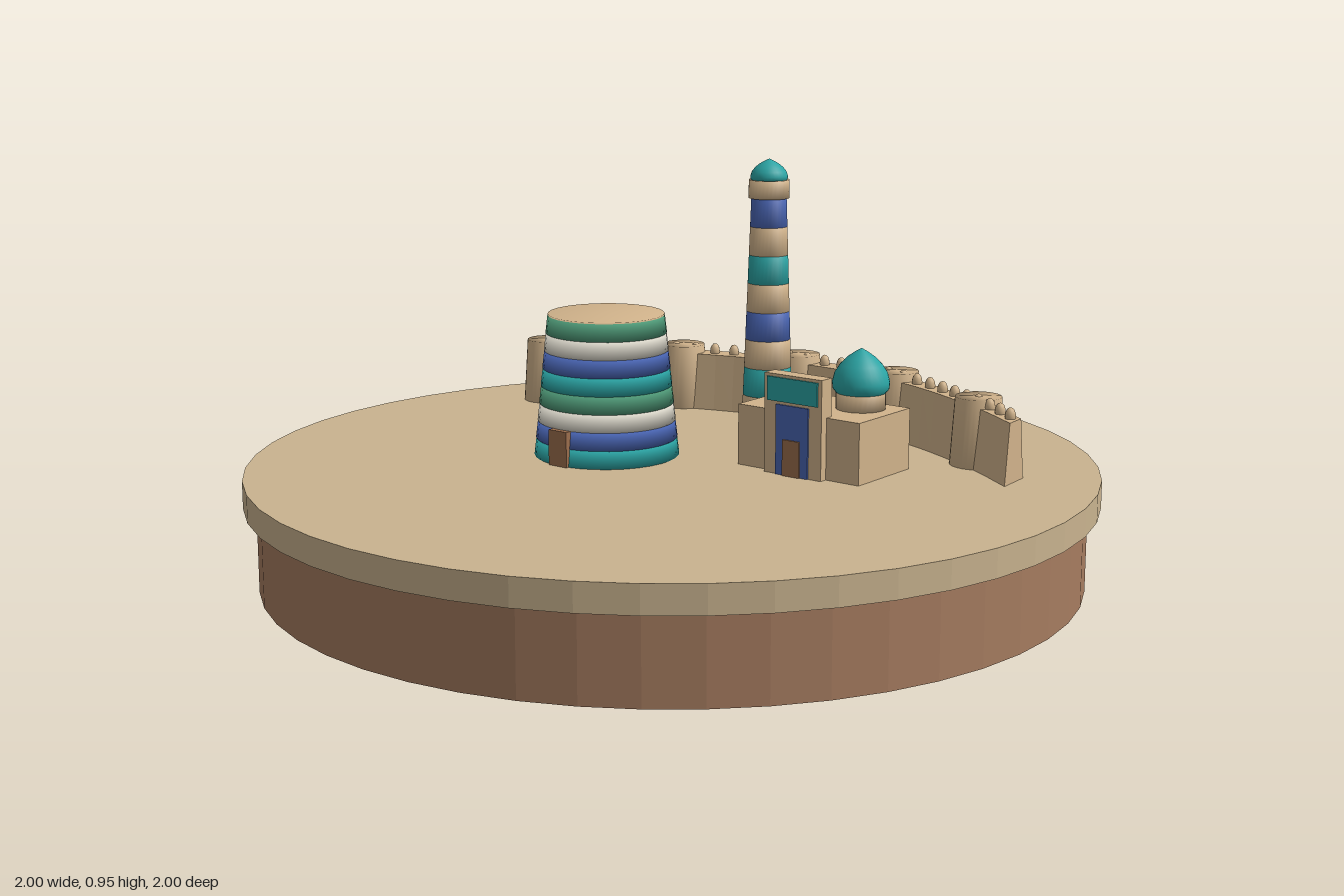
import * as THREE from 'three';
import { mergeVertices } from 'three/addons/utils/BufferGeometryUtils.js';

const GROUND = 0.265;

export function createModel() {
  const mat = (name, color) => {
    const m = new THREE.MeshStandardMaterial({ color });
    m.name = name;
    return m;
  };
  const M = {
    earth: mat('earth', 0xa67c60),
    ground: mat('ground', 0xc9b38f),
    clay: mat('clay', 0xd2b48c),
    teal: mat('tealTile', 0x2ba5a5),
    blue: mat('blueTile', 0x4a66b5),
    green: mat('greenTile', 0x4f9a78),
    white: mat('whiteTile', 0xe0dccf),
    wood: mat('doorWood', 0x9c6f4e),
  };
  const model = new THREE.Group();
  model.name = 'walledOasisTown';

  const group = (name, x = 0, z = 0, parent = model) => {
    const g = new THREE.Group();
    g.name = name;
    g.position.set(x, 0, z);
    parent.add(g);
    return g;
  };
  const add = (parent, name, geo, material, x = 0, y = 0, z = 0) => {
    const mesh = new THREE.Mesh(geo, material);
    mesh.name = name;
    mesh.position.set(x, y, z);
    parent.add(mesh);
    return mesh;
  };
  // Normals shared across the rims, giving a soft, rounded look
  const soften = (geo) => {
    geo.deleteAttribute('normal');
    geo.deleteAttribute('uv');
    const g = mergeVertices(geo, 1e-5);
    g.computeVertexNormals();
    return g;
  };
  const facet = (geo) => {
    const g = geo.toNonIndexed();
    g.computeVertexNormals();
    return g;
  };
  const softDrum = (parent, name, rTop, rBottom, y0, y1, material, x = 0, z = 0) =>
    add(parent, name, soften(new THREE.CylinderGeometry(rTop, rBottom, y1 - y0, 32)), material, x, (y0 + y1) / 2, z);
  const box = (parent, name, w, y0, y1, d, material, x = 0, z = 0) =>
    add(parent, name, new THREE.BoxGeometry(w, y1 - y0, d), material, x, (y0 + y1) / 2, z);
  // Pointed dome of base radius r standing at height y
  const dome = (parent, name, r, h, y, x = 0, z = 0) => {
    const profile = [[0.85, 0], [0.98, 0.1], [1, 0.25], [0.92, 0.45], [0.74, 0.63], [0.5, 0.79], [0.24, 0.91], [0, 1]];
    const pts = profile.map(([a, b]) => new THREE.Vector2(a * r, b * h));
    return add(parent, name, new THREE.LatheGeometry(pts, 32), M.teal, x, y, z);
  };

  // Round base
  const base = group('base');
  add(base, 'earthPlinth', facet(new THREE.CylinderGeometry(0.97, 0.97, 0.2, 48)), M.earth, 0, 0.1, 0);
  add(base, 'groundDisc', facet(new THREE.CylinderGeometry(1, 1, 0.065, 48)), M.ground, 0, 0.2325, 0);

  // Squat tiled tower
  const squat = group('squatTower', -0.175, -0.03);
  const squatBands = [M.teal, M.blue, M.white, M.green, M.teal, M.blue, M.white, M.green];
  const bandH = 0.0422;
  squatBands.forEach((m, i) => {
    const r = 0.174 - i * 0.0042;
    softDrum(squat, 'tileBand', r - 0.005, r, GROUND + i * bandH, GROUND + (i + 1) * bandH, m);
  });
  softDrum(squat, 'roof', 0.139, 0.139, 0.59, 0.606, M.clay);
  const door = group('towerDoor', 0, 0, squat);
  door.rotation.y = -0.35;
  box(door, 'doorPanel', 0.055, GROUND, 0.35, 0.03, M.wood, 0, 0.164);

  // Slender minaret
  const minaret = group('minaret', 0.13, -0.36);
  softDrum(minaret, 'minaretFoot', 0.061, 0.068, GROUND, 0.365, M.clay);
  [M.teal, M.clay, M.blue, M.clay, M.teal, M.clay, M.blue].forEach((m, i) => {
    const r = 0.061 - i * 0.0025;
    softDrum(minaret, 'minaretBand', r - 0.0025, r, 0.365 + i * 0.07, 0.365 + (i + 1) * 0.07, m);
  });
  softDrum(minaret, 'gallery', 0.05, 0.05, 0.855, 0.9, M.clay);
  dome(minaret, 'minaretDome', 0.046, 0.056, 0.895);

  // Gatehouse with tall portal and dome
  const gate = group('gatehouse', 0.353, -0.06);
  gate.rotation.y = -0.35;
  box(gate, 'hall', 0.34, GROUND, 0.41, 0.21, M.clay);
  box(gate, 'portal', 0.16, GROUND, 0.5, 0.04, M.clay, 0, 0.105);
  box(gate, 'portalFrieze', 0.14, 0.437, 0.493, 0.006, M.teal, 0, 0.126);
  box(gate, 'portalNiche', 0.09, GROUND, 0.43, 0.006, M.blue, 0, 0.126);
  box(gate, 'portalDoor', 0.047, GROUND, 0.35, 0.008, M.wood, 0, 0.129);
  softDrum(gate, 'domeDrum', 0.058, 0.058, 0.41, 0.455, M.clay, 0.08, -0.034);
  dome(gate, 'hallDome', 0.067, 0.105, 0.447, 0.08, -0.034);

  // Curved city wall with sloping faces
  const wall = group('cityWall');
  const towerSpots = [[-0.54, -0.57], [-0.175, -0.62], [0.15, -0.58], [0.44, -0.44], [0.69, -0.2]];
  const path = new THREE.CatmullRomCurve3(
    [...towerSpots, [0.803, -0.05]].map(([x, z]) => new THREE.Vector3(x, 0, z)), false, 'centripetal');
  const section = [[-0.048, GROUND], [-0.029, 0.408], [0.029, 0.408], [0.048, GROUND]];
  const steps = 30, pos = [], idx = [];
  for (let i = 0; i <= steps; i++) {
    const p = path.getPointAt(i / steps);
    const out = new THREE.Vector3(0.35 * p.x, 0, -1).normalize();
    for (const [o, y] of section) pos.push(p.x + out.x * o, y, p.z + out.z * o);
  }
  for (let i = 0; i < steps; i++) {
    for (let j = 0; j < 4; j++) {
      const a = i * 4 + j, b = i * 4 + (j + 1) % 4;
      idx.push(a, a + 4, b, b, a + 4, b + 4);
    }
  }
  const e = steps * 4;
  idx.push(0, 1, 2, 0, 2, 3, e, e + 2, e + 1, e, e + 3, e + 2);
  const wallGeo = new THREE.BufferGeometry();
  wallGeo.setAttribute('position', new THREE.Float32BufferAttribute(pos, 3));
  wallGeo.setIndex(idx);
  add(wall, 'rampart', facet(wallGeo), M.clay);

  // Wall towers
  for (const [x, z] of towerSpots) softDrum(wall, 'wallTower', 0.055, 0.065, GROUND, 0.428, M.clay, x, z);

  // Rounded merlons along the top
  const merlon = new THREE.SphereGeometry(0.013, 12, 8).scale(1, 1.6, 1);
  const count = Math.round(path.getLength() / 0.054);
  for (let i = 0; i < count; i++) {
    const p = path.getPointAt((i + 0.5) / count);
    add(wall, 'merlon', merlon, M.clay, p.x, 0.413, p.z);
  }
  return model;
}
